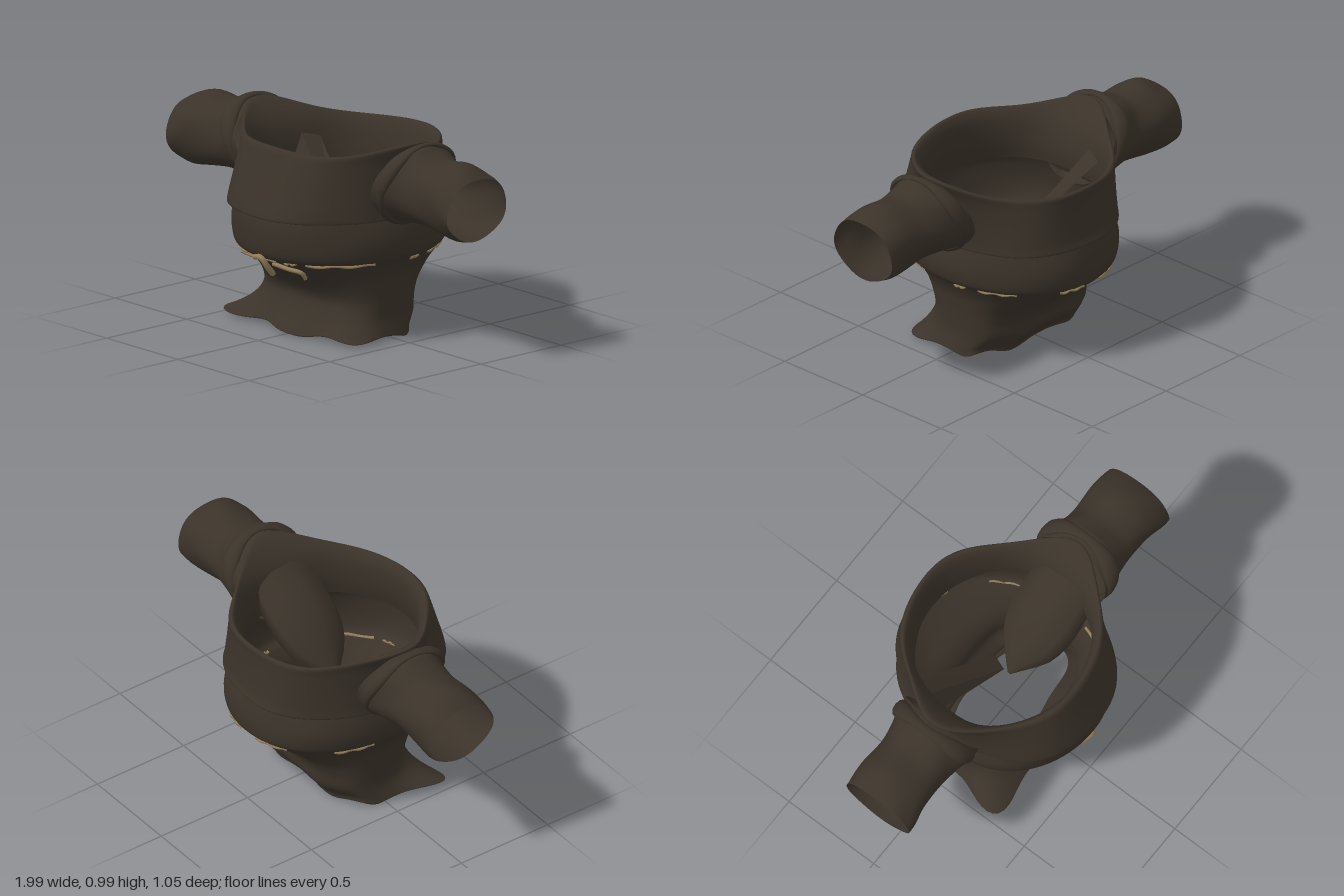
import * as THREE from 'three';

const cloth = new THREE.MeshStandardMaterial({ color: 0x3b332a, side: THREE.DoubleSide });
cloth.name = 'dark brown cloth';
const tan = new THREE.MeshStandardMaterial({ color: 0x95815c });
tan.name = 'tan cord';

// Skin a surface through closed rings: fn(u, angle) gives a point, u runs 0..1
function loft(name, rows, seg, fn) {
  const pos = [], idx = [];
  for (let i = 0; i <= rows; i++)
    for (let j = 0; j < seg; j++) pos.push(...fn(i / rows, (j / seg) * Math.PI * 2));
  for (let i = 0; i < rows; i++)
    for (let j = 0; j < seg; j++) {
      const a = i * seg + j, b = i * seg + ((j + 1) % seg), c = a + seg, d = b + seg;
      idx.push(a, c, b, b, c, d);
    }
  const g = new THREE.BufferGeometry();
  g.setAttribute('position', new THREE.Float32BufferAttribute(pos, 3));
  g.setIndex(idx);
  g.computeVertexNormals();
  const m = new THREE.Mesh(g, cloth);
  m.name = name;
  return m;
}

// Smooth interpolation through the rows of a small table
function sample(table, u) {
  const t = u * (table.length - 1), i = Math.min(Math.floor(t), table.length - 2), f = t - i;
  const at = (k) => table[Math.max(0, Math.min(table.length - 1, k))];
  return table[i].map((_, c) => {
    const p0 = at(i - 1)[c], p1 = at(i)[c], p2 = at(i + 1)[c], p3 = at(i + 2)[c];
    return p1 + 0.5 * f * (p2 - p0 + f * (2 * p0 - 5 * p1 + 4 * p2 - p3 + f * (3 * (p1 - p2) + p3 - p0)));
  });
}

// Rounded oval with separate front and back depth; n sets how boxy it is
function oval(a, x, front, back, n) {
  const c = Math.cos(a), s = Math.sin(a);
  const px = Math.sign(c) * Math.abs(c) ** (2 / n) * x;
  const pz = Math.sign(s) * Math.abs(s) ** (2 / n) * (s > 0 ? front : back);
  return [px, pz];
}

// Bodice rows: height, half width, front depth, back depth, boxiness
const BODY = [
  [0.67, 0.42, 0.47, 0.46, 2.1], [0.6, 0.45, 0.505, 0.49, 2.1], [0.5, 0.47, 0.505, 0.515, 2.1],
  [0.42, 0.46, 0.49, 0.515, 2.1], [0.385, 0.43, 0.45, 0.495, 2.1], [0.32, 0.4, 0.36, 0.41, 2.2],
  [0.25, 0.39, 0.28, 0.31, 2.5], [0.18, 0.385, 0.24, 0.262, 2.8], [0.1, 0.385, 0.265, 0.25, 2.8],
  [0.04, 0.4, 0.3, 0.2, 2.6], [0.015, 0.405, 0.31, 0.19, 2.6], [0.025, 0.38, 0.25, 0.18, 2.4],
  [0.05, 0.36, 0.16, 0.17, 2.2],
];
function bodyPoint(u, a) {
  const [y, w, f, b, n] = sample(BODY, u);
  let [x, z] = oval(a, w, f, b, n);
  const low = Math.max(0, 1 - y / 0.2), mid = Math.exp(-(((y - 0.5) / 0.1) ** 2));
  // Soft pleats, growing toward the hem
  const k = 1 + 0.012 * mid * Math.sin(5 * a + 1) + 0.03 * low * Math.sin(9 * a) * Math.abs(Math.sin(a));
  x *= k; z *= k;
  // Pulled out hem corners at the front, the right one longest
  let lift = 0;
  for (const [ca, amt] of [[2.55, 0.42], [0.6, 0.2]]) {
    const e = low * low * amt * Math.exp(-(((a - ca) / 0.3) ** 2));
    x *= 1 + e; z *= 1 + 1.4 * e;
    lift += 0.07 * e;
  }
  return [x, y + lift + low * 0.012 * Math.sin(7 * a + 0.5), z];
}

// Collar band rows: outside from its lower edge up, over the rim, down inside
const COLLAR = [
  [0.63, 0.445, 0.49, 0.48, 0], [0.605, 0.465, 0.528, 0.52, 0], [0.65, 0.465, 0.52, 0.51, 0],
  [0.75, 0.455, 0.485, 0.5, 0.03], [0.85, 0.445, 0.45, 0.495, 0.08], [0.895, 0.44, 0.43, 0.495, 0.125],
  [0.9, 0.425, 0.405, 0.475, 0.1], [0.85, 0.41, 0.38, 0.45, 0.03], [0.75, 0.405, 0.385, 0.43, 0],
  [0.66, 0.41, 0.41, 0.42, 0],
];
function collarPoint(u, a) {
  const [y, w, f, b, flare] = sample(COLLAR, u);
  let [x, z] = oval(a, w, f, b, 2.15);
  // Draws out to the shoulder ridge over the arms; the back sits lower
  const side = Math.exp(-((z / 0.21) ** 2));
  x += Math.sign(x) * side * flare;
  const high = Math.max(0, (y - 0.62) / 0.28);
  const k = 1 + 0.008 * Math.sin(6 * a + 5 * u);
  return [x * k, y + side * flare * 0.62 + high * (0.018 * Math.sin(a) + 0.006 * Math.sin(4 * a + 1)), z * k];
}

// Sleeve rows: distance out, centre height, centre depth, half height, half depth, lean
const SLEEVE = [
  [0.47, 0.78, 0, 0.18, 0.21, 0.42], [0.55, 0.785, 0, 0.19, 0.205, 0.4], [0.62, 0.78, 0, 0.178, 0.187, 0.3],
  [0.72, 0.77, 0.005, 0.163, 0.172, 0.18], [0.85, 0.768, 0.005, 0.177, 0.178, 0.1],
  [0.93, 0.755, 0.01, 0.17, 0.185, 0.08], [0.985, 0.745, 0.012, 0.152, 0.185, 0.08],
];
function sleevePoint(side) {
  return (u, a) => {
    const [x, cy, cz, ry, rz, lean] = sample(SLEEVE, u);
    const k = 1 + 0.018 * Math.sin(5 * a + 9 * u);
    const dy = Math.sin(a) * ry * k;
    return [side * (x + dy * lean), cy + dy, cz + Math.cos(a) * rz * k];
  };
}

// Flattened fold around each armhole
function armholeFold(side) {
  return (u, a) => {
    const t = u * Math.PI * 2, r = 0.017 + 0.007 * Math.sin(3 * t);
    const out = 1 + (Math.cos(a) * r) / 0.2;
    const dy = Math.sin(t) * 0.192 * out;
    return [side * (0.535 + dy * 0.36 + Math.sin(a) * r * 2), 0.787 + dy, Math.cos(t) * 0.205 * out];
  };
}

// Cord lying on the bodice seam between two angles
function seamCord(group, from, to, r) {
  const pts = [];
  for (let i = 0; i <= 8; i++) {
    const a = from + ((to - from) * i) / 8;
    const [x, y, z] = bodyPoint(3.85 / 12, a);
    pts.push(new THREE.Vector3(x * 1.006, y + 0.004 * Math.sin(i * 1.7), z * 1.006));
  }
  addCord(group, 'seamCord', pts, r);
}
function addCord(group, name, pts, r) {
  const m = new THREE.Mesh(new THREE.TubeGeometry(new THREE.CatmullRomCurve3(pts), 16, r, 5), tan);
  m.name = name;
  group.add(m);
}

export function createModel() {
  const top = new THREE.Group();
  top.name = 'offShoulderTop';

  top.add(loft('bodice', 60, 96, bodyPoint));
  top.add(loft('collarBand', 45, 96, collarPoint));
  for (const side of [1, -1]) {
    const arm = side > 0 ? 'left' : 'right';
    top.add(loft(arm + 'Sleeve', 30, 48, sleevePoint(side)));
    top.add(loft(arm + 'ArmholeFold', 48, 10, armholeFold(side)));
  }

  // Loose inner folds drawn down to the middle
  const CONE = [[0, 0.01], [0.13, 0.14], [0.27, 0.18], [0.41, 0.17]];
  top.add(loft('leftInnerFold', 9, 9, (u, a) => {
    const [x, r] = sample(CONE, u);
    return [x, 0.47 + 0.3 * u + Math.sin(a) * r * 0.7, 0.02 + Math.cos(a) * r];
  }));
  const flap = new THREE.BufferGeometry();
  flap.setAttribute('position', new THREE.Float32BufferAttribute([
    0, 0.47, -0.01, -0.41, 0.7, -0.07, -0.41, 0.82, -0.13,
    0, 0.47, -0.01, -0.41, 0.82, -0.13, -0.38, 0.8, -0.22,
    0, 0.47, -0.01, -0.38, 0.8, -0.22, 0.02, 0.5, -0.08,
  ], 3));
  flap.computeVertexNormals();
  const flapMesh = new THREE.Mesh(flap, cloth);
  flapMesh.name = 'rightInnerFold';
  top.add(flapMesh);

  // Broken run of cord around the waist seam
  const cords = new THREE.Group();
  cords.name = 'waistCord';
  const runs = [[0.3, 1.05], [1.15, 1.3], [1.4, 2.15], [2.25, 2.75], [-0.22, -0.1], [-0.75, -0.35],
    [-1.5, -1.2], [-2.1, -1.7], [3.3, 3.7]];
  runs.forEach(([a, b], i) => seamCord(cords, a, b, i % 2 ? 0.006 : 0.008));

  // Hanging cord ends at the front
  const v = (x, y, z) => new THREE.Vector3(x, y, z);
  addCord(cords, 'cordEnd', [v(-0.05, 0.395, 0.475), v(0.02, 0.405, 0.495), v(0.035, 0.36, 0.47), v(0.015, 0.315, 0.42)], 0.015);
  addCord(cords, 'cordEnd', [v(0.06, 0.38, 0.46), v(0.14, 0.365, 0.435), v(0.2, 0.355, 0.41), v(0.18, 0.315, 0.365)], 0.011);
  addCord(cords, 'cordEnd', [v(-0.24, 0.365, 0.385), v(-0.12, 0.385, 0.445), v(0, 0.39, 0.468)], 0.009);
  top.add(cords);
  return top;
}
